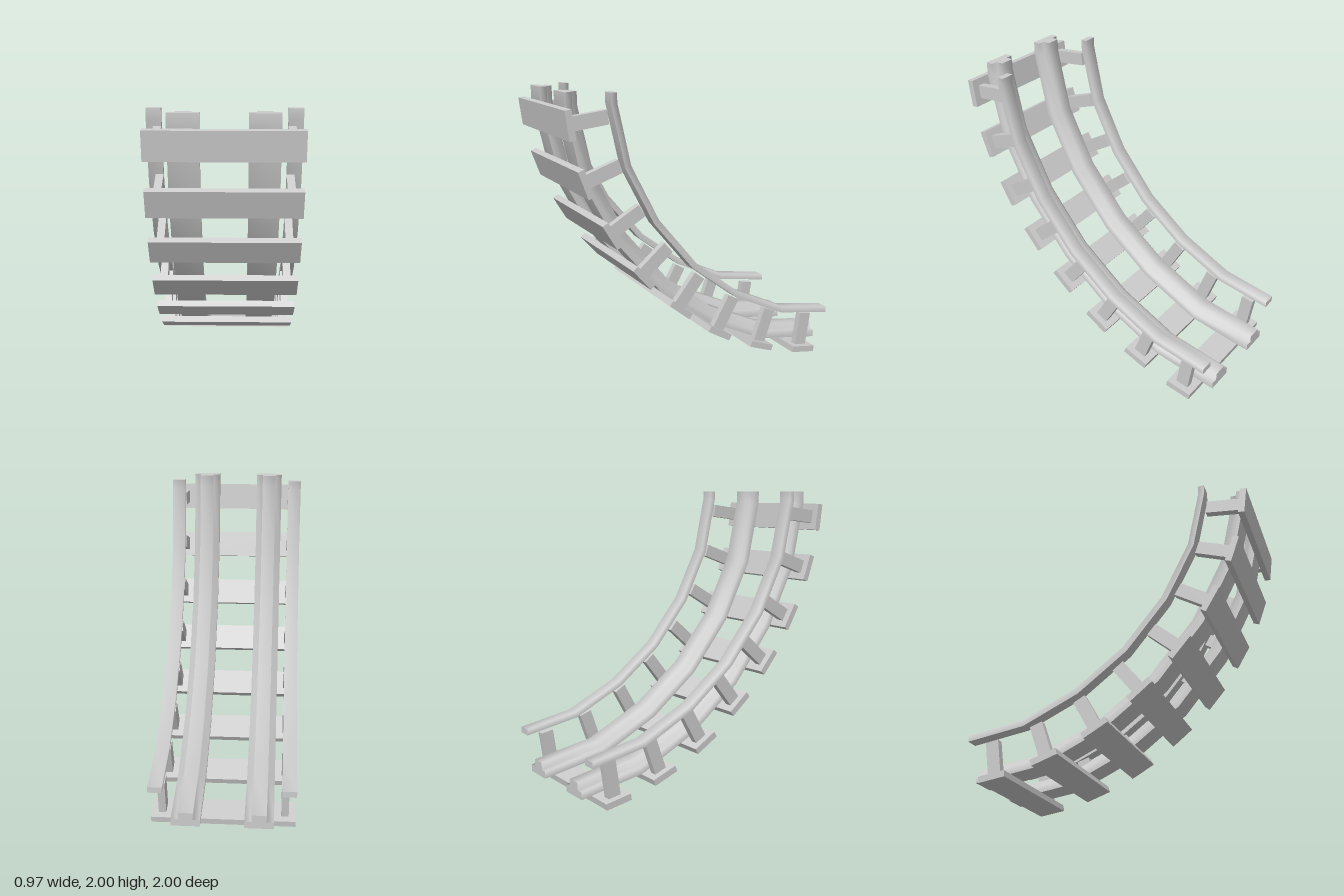
import * as THREE from 'three';
import { mergeGeometries } from 'three/addons/utils/BufferGeometryUtils.js';

const material = new THREE.MeshStandardMaterial({ color: 0xcccccc });

// Inner edge of the curve as [z, y], from the low back end to the high front end
const path = [
  [-1, 0.342], [-0.607, 0.405], [-0.228, 0.582], [0.105, 0.834],
  [0.383, 1.166], [0.576, 1.54], [0.663, 1.936], [0.663, 2],
];

// Outward direction at each path point, lengthened at bends to keep the depth even
const outward = path.map((p, i) => {
  if (i === 0) return [0, -1];
  if (i === path.length - 1) return [1, 0];
  const dir = (a, b) => new THREE.Vector2(b[0] - a[0], b[1] - a[1]).normalize();
  const d0 = dir(path[i - 1], p);
  const t = d0.clone().add(dir(p, path[i + 1])).normalize();
  const k = 1 / t.dot(d0);
  return [t.y * k, -t.x * k];
});

const place = (i, [x, depth]) => [
  x, path[i][1] + outward[i][1] * depth, path[i][0] + outward[i][0] * depth,
];

function surface(positions, index) {
  const g = new THREE.BufferGeometry();
  g.setAttribute('position', new THREE.Float32BufferAttribute(positions.flat(), 3));
  g.setIndex(index);
  g.computeVertexNormals();
  return g;
}

// Strip swept along the path, smooth across the given profile points
function strip(profile) {
  const n = profile.length, index = [];
  const positions = path.flatMap((_, i) => profile.map((q) => place(i, q)));
  for (let i = 0; i < path.length - 1; i++) {
    for (let j = 0; j < n - 1; j++) {
      const a = i * n + j, b = a + 1, d = a + n, c = d + 1;
      index.push(a, d, c, a, c, b);
    }
  }
  return surface(positions, index);
}

// Flat end of a swept bar
function cap(profile, i, atStart) {
  const loop = [...profile].reverse();
  const faces = THREE.ShapeUtils.triangulateShape(
    loop.map(([x, d]) => new THREE.Vector2(x, -d)), []);
  const index = faces.flatMap(([a, b, c]) => (atStart ? [a, c, b] : [a, b, c]));
  return surface(loop.map((q) => place(i, q)), index);
}

// Profile runs up the left side, over the top and down the right side
function sweptBar(name, profile, x) {
  const p = profile.map(([px, d]) => [px + x, d]);
  const mesh = new THREE.Mesh(mergeGeometries([
    strip(p),
    strip([p[p.length - 1], p[0]]),
    cap(p, 0, true),
    cap(p, path.length - 1, false),
  ]), material);
  mesh.name = name;
  return mesh;
}

function box(name, w, h, d, x, y) {
  const mesh = new THREE.Mesh(new THREE.BoxGeometry(w, h, d), material);
  mesh.position.set(x, y, 0);
  mesh.name = name;
  return mesh;
}

export function createModel() {
  const model = new THREE.Group();
  model.name = 'curvedTrack';

  const railProfile = [
    [-0.097, 0.29], [-0.097, 0.24], [-0.05, 0.24], [-0.05, 0.19],
    [0.05, 0.19], [0.05, 0.24], [0.097, 0.24], [0.097, 0.29],
  ];
  const handrailProfile = [[-0.047, 0.042], [-0.047, 0], [0.047, 0], [0.047, 0.042]];

  // Running rails and raised side rails
  for (const [side, s] of [['left', 1], ['right', -1]]) {
    model.add(sweptBar(side + 'Rail', railProfile, s * 0.243));
    model.add(sweptBar(side + 'Handrail', handrailProfile, s * 0.438));
  }

  // Cross ties as [z, y, slope in degrees], each with two posts
  const ties = [
    [-0.807, 0.039, 8.5], [-0.437, 0.134, 19.4], [-0.088, 0.294, 29.5], [0.22, 0.519, 38.6],
    [0.493, 0.786, 49.2], [0.71, 1.096, 59.2], [0.877, 1.444, 70.2], [0.968, 1.813, 82.7],
  ];
  for (const [z, y, slope] of ties) {
    const tie = new THREE.Group();
    tie.name = 'tieWithPosts';
    tie.add(box('tie', 0.97, 0.044, 0.19, 0, 0));
    for (const s of [1, -1]) tie.add(box('post', 0.05, 0.265, 0.092, s * 0.413, 0.1325));
    tie.position.set(0, y, z);
    tie.rotation.x = -THREE.MathUtils.degToRad(slope);
    model.add(tie);
  }
  return model;
}
